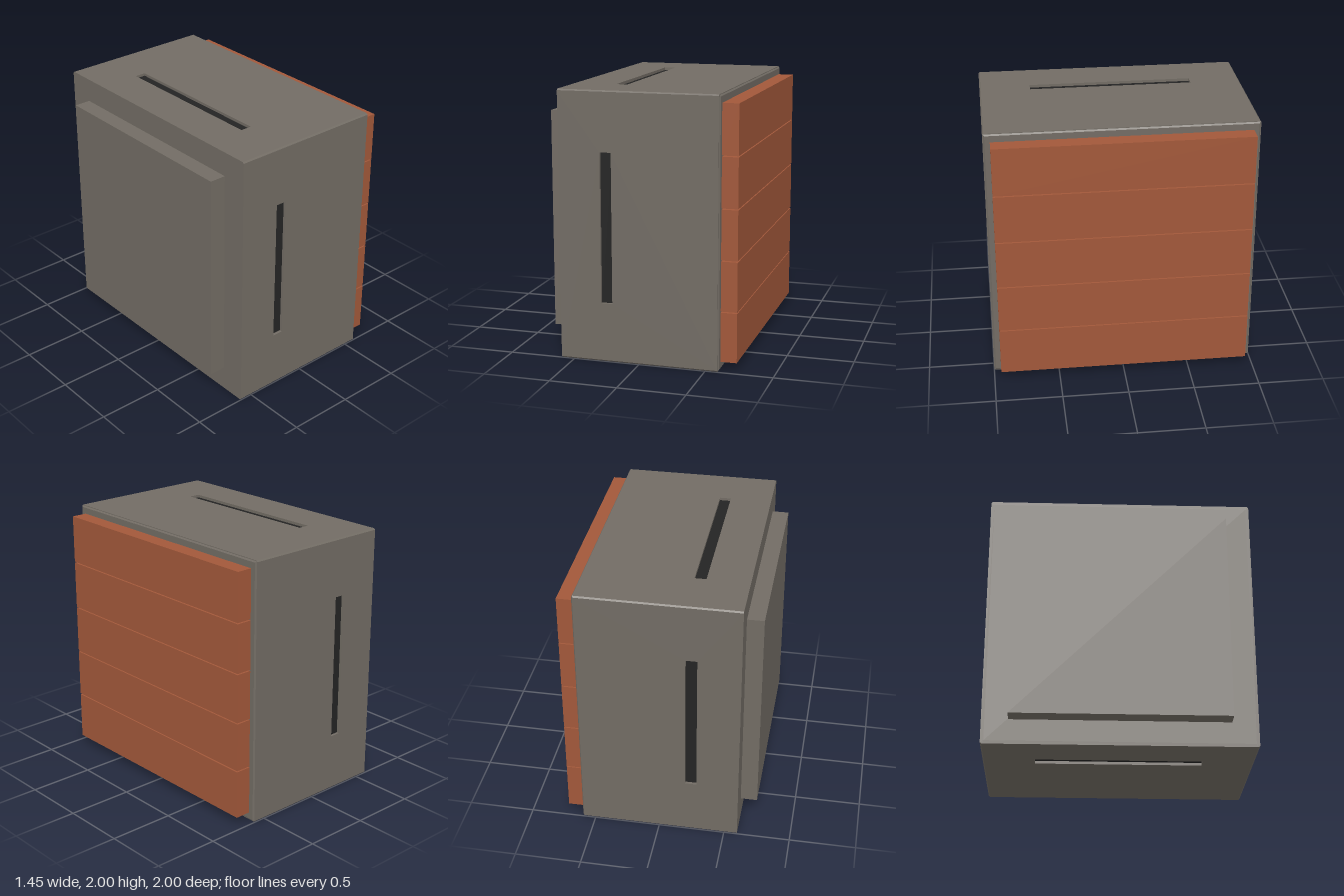
import * as THREE from 'three';

const grey = new THREE.MeshStandardMaterial({ color: 0x726c64 });
grey.name = 'warm grey';
const clay = new THREE.MeshStandardMaterial({ color: 0xa2583a });
clay.name = 'clay red';
const black = new THREE.MeshStandardMaterial({ color: 0x242424 });
black.name = 'slot black';

const HALF = 0.6; // half width of the housing along x
const CHAMFER = 0.01;
const DEPTH = 0.025; // slot depth

function add(parent, name, geometry, material, x = 0, y = 0, z = 0) {
  const mesh = new THREE.Mesh(geometry, material);
  mesh.name = name;
  mesh.position.set(x, y, z);
  parent.add(mesh);
  return mesh;
}

function rectangle(target, x0, x1, y0, y1) {
  target.moveTo(x0, y0);
  target.lineTo(x1, y0);
  target.lineTo(x1, y1);
  target.lineTo(x0, y1);
  target.closePath();
  return target;
}

// One outer wall with a long recessed slot, facing +z before it is turned
function slottedWall(name, slotHalf) {
  const wall = new THREE.Group();
  wall.name = name;
  const edge = 1 - CHAMFER;
  const shape = rectangle(new THREE.Shape(), -HALF, HALF - CHAMFER, -edge, edge);
  shape.holes.push(rectangle(new THREE.Path(), -0.285, -0.2, -slotHalf, slotHalf));
  const panel = new THREE.ExtrudeGeometry(shape, { depth: DEPTH, bevelEnabled: false });
  add(wall, 'wallPanel', panel, grey, 0, 0, 1 - DEPTH);
  add(wall, 'slotFloor', new THREE.BoxGeometry(0.085, slotHalf * 2, 0.004), black,
    -0.2425, 0, 1 - DEPTH + 0.002);
  return wall;
}

export function createModel() {
  const model = new THREE.Group();
  model.name = 'wallBlock';

  // Housing, built around its own centre
  const housing = new THREE.Group();
  housing.name = 'housing';
  housing.position.y = 1;
  model.add(housing);

  const inner = 2 * (1 - DEPTH);
  add(housing, 'core', new THREE.BoxGeometry(2 * HALF - CHAMFER, inner, inner), grey, -CHAMFER / 2);

  // Front, top, back and bottom walls
  ['frontWall', 'topWall', 'backWall', 'bottomWall'].forEach((name, i) => {
    const wall = slottedWall(name, i % 2 ? 0.617 : 0.557);
    wall.rotation.x = -i * Math.PI / 2;
    housing.add(wall);
  });

  // Chamfered long edges
  const bar = CHAMFER * Math.SQRT2;
  for (const sy of [-1, 1]) for (const sz of [-1, 1]) {
    const edge = add(housing, 'longEdge', new THREE.BoxGeometry(2 * HALF - CHAMFER, bar, bar), grey,
      -CHAMFER / 2, sy * (1 - CHAMFER), sz * (1 - CHAMFER));
    edge.rotation.x = Math.PI / 4;
  }

  // Chamfered rim behind the slats
  const rim = new THREE.CylinderGeometry((1 - 1.5 * CHAMFER) * Math.SQRT2,
    (1 - CHAMFER / 2) * Math.SQRT2, CHAMFER, 4).toNonIndexed();
  rim.rotateY(Math.PI / 4);
  rim.rotateZ(-Math.PI / 2);
  rim.computeVertexNormals();
  add(housing, 'slatRim', rim, grey, HALF - CHAMFER / 2);

  // Raised plate on the opposite side
  add(model, 'backingPlate', new THREE.BoxGeometry(0.13, 1.63, 1.61), grey, -0.66, 1.003, 0);

  // Five stacked slats
  for (let i = 0; i < 5; i++) {
    add(model, 'slat', new THREE.BoxGeometry(0.125, 0.368, 1.896), clay, 0.6585, 0.247 + i * 0.3765, 0);
  }
  return model;
}
